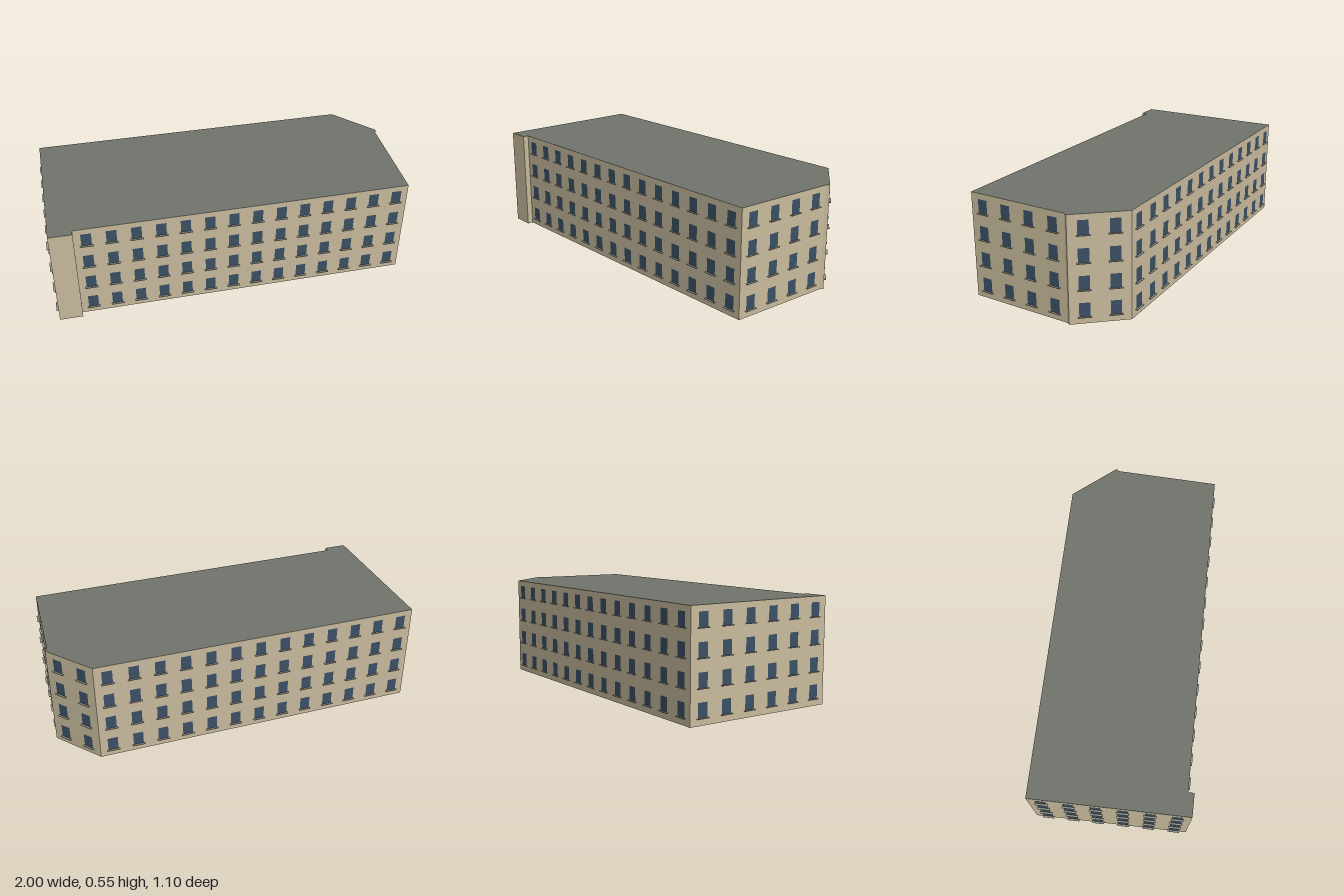
import * as THREE from 'three';

const HEIGHT = 0.547, FLOORS = 4, STOREY = HEIGHT / FLOORS;
const WIN_W = 0.053, WIN_H = 0.072;

// Footprint corners (x, z), counter-clockwise seen from above, and the number of windows
// per storey on the wall that starts at each corner
const CORNERS = [
  { x: -0.995, z: -0.272, windows: 6 },  // left wall
  { x: -0.865, z: 0.547, windows: 0 },   // corner pier, front
  { x: -0.745, z: 0.528, windows: 0 },   // corner pier, return
  { x: -0.75, z: 0.497, windows: 14 },   // front wall
  { x: 0.99, z: 0.213, windows: 4 },     // right wall
  { x: 0.927, z: -0.335, windows: 0 },   // short jog
  { x: 0.936, z: -0.353, windows: 2 },   // cut corner
  { x: 0.712, z: -0.547, windows: 13 },  // back wall
];

export function createModel() {
  const model = new THREE.Group();
  model.name = 'building';
  const wallMat = new THREE.MeshStandardMaterial({ color: 0xc8bb9d });
  const roofMat = new THREE.MeshStandardMaterial({ color: 0x70746c });
  const glassMat = new THREE.MeshStandardMaterial({ color: 0x3a5064 });
  const sillMat = new THREE.MeshStandardMaterial({ color: 0x9a968a });

  // Solid block: flat roof and base as caps, walls as sides
  const outline = new THREE.Shape(CORNERS.map(c => new THREE.Vector2(c.x, -c.z)));
  const blockGeo = new THREE.ExtrudeGeometry(outline, { depth: HEIGHT, bevelEnabled: false });
  blockGeo.rotateX(-Math.PI / 2);
  const block = new THREE.Mesh(blockGeo, [roofMat, wallMat]);
  block.name = 'wallsAndRoof';
  model.add(block);

  // One window: glass pane with a thin projecting sill, facing local +z
  const paneGeo = new THREE.PlaneGeometry(WIN_W, WIN_H);
  const sillGeo = new THREE.BoxGeometry(WIN_W + 0.012, 0.003, 0.012);
  function makeWindow() {
    const group = new THREE.Group();
    group.name = 'window';
    const pane = new THREE.Mesh(paneGeo, glassMat);
    pane.name = 'pane';
    pane.position.z = 0.002;
    const sill = new THREE.Mesh(sillGeo, sillMat);
    sill.name = 'sill';
    sill.position.set(0, -WIN_H / 2 - 0.0015, 0.006);
    group.add(pane, sill);
    return group;
  }

  // Evenly spaced windows on every wall and storey
  CORNERS.forEach((a, i) => {
    if (!a.windows) return;
    const b = CORNERS[(i + 1) % CORNERS.length];
    const dx = b.x - a.x, dz = b.z - a.z;
    const length = Math.hypot(dx, dz);
    const wall = new THREE.Group();
    wall.name = 'wallWindows';
    wall.position.set(a.x, 0, a.z);
    wall.rotation.y = Math.atan2(-dz, dx);
    for (let f = 0; f < FLOORS; f++) {
      for (let k = 0; k < a.windows; k++) {
        const win = makeWindow();
        win.position.set((k + 0.5) * length / a.windows, (f + 0.525) * STOREY, 0);
        wall.add(win);
      }
    }
    model.add(wall);
  });

  return model;
}
